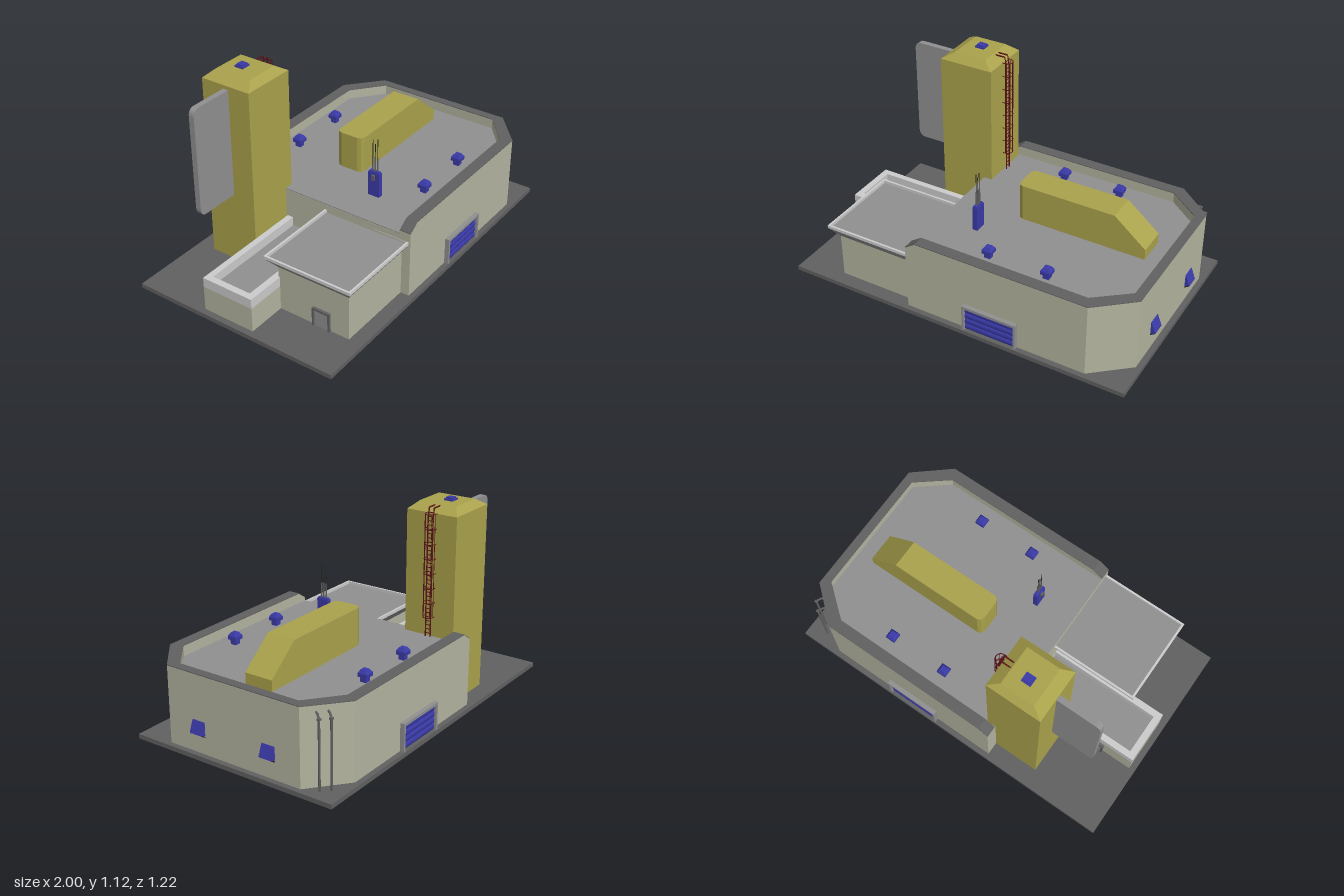
import * as THREE from 'three';

const mat = (color) => new THREE.MeshStandardMaterial({ color, side: THREE.DoubleSide });

export function createModel() {
  const root = new THREE.Group();
  const wall = mat(0xb4b4a0), grey = mat(0xcccccc), mid = mat(0x909090), dark = mat(0x606060),
    yellow = mat(0xaaa24c), blue = mat(0x3a3aa8), red = mat(0x5c1418), black = mat(0x262626);

  const add = (name, geo, m, parent = root) => {
    const mesh = new THREE.Mesh(geo, m);
    mesh.name = name;
    parent.add(mesh);
    return mesh;
  };
  const group = (name) => {
    const g = new THREE.Group();
    g.name = name;
    root.add(g);
    return g;
  };
  // box given by its limits
  const box = (name, x0, x1, y0, y1, z0, z1, m, parent) => {
    const g = new THREE.BoxGeometry(x1 - x0, y1 - y0, z1 - z0);
    g.translate((x0 + x1) / 2, (y0 + y1) / 2, (z0 + z1) / 2);
    return add(name, g, m, parent);
  };
  // plan outline [x, z] raised from y0 to y1
  const plan = (name, pts, y0, y1, m, hole, parent) => {
    const v = (a) => a.map(([x, z]) => new THREE.Vector2(x, -z));
    const s = new THREE.Shape(v(pts));
    if (hole) s.holes.push(new THREE.Path(v(hole)));
    const g = new THREE.ExtrudeGeometry(s, { depth: y1 - y0, bevelEnabled: false });
    g.rotateX(-Math.PI / 2).translate(0, y0, 0);
    return add(name, g, m, parent);
  };
  // side outline [x, y] swept from z0 to z1
  const side = (name, pts, z0, z1, m, parent) => {
    const s = new THREE.Shape(pts.map(([x, y]) => new THREE.Vector2(x, y)));
    const g = new THREE.ExtrudeGeometry(s, { depth: z1 - z0, bevelEnabled: false });
    return add(name, g.translate(0, 0, z0), m, parent);
  };
  const rect = (x0, x1, z0, z1) => [[x0, z0], [x1, z0], [x1, z1], [x0, z1]];
  // block whose bottom and top rectangles [x0, x1, z0, z1] differ
  const taper = (name, b, t, y0, y1, m) => {
    const g = new THREE.BoxGeometry(1, 1, 1).toNonIndexed();
    const p = g.attributes.position;
    for (let i = 0; i < p.count; i++) {
      const up = p.getY(i) > 0, r = up ? t : b;
      p.setXYZ(i, p.getX(i) > 0 ? r[1] : r[0], up ? y1 : y0, p.getZ(i) > 0 ? r[3] : r[2]);
    }
    g.computeVertexNormals();
    return add(name, g, m);
  };
  // round bar through points, with straight runs
  const bar = (name, pts, r, m, parent, sides = 6) => {
    const path = new THREE.CurvePath();
    const v = pts.map((p) => new THREE.Vector3(...p));
    for (let i = 1; i < v.length; i++) path.add(new THREE.LineCurve3(v[i - 1], v[i]));
    return add(name, new THREE.TubeGeometry(path, (v.length - 1) * 6, r, sides), m, parent);
  };

  // ground slab
  box('groundSlab', -1, 1, 0, 0.025, -0.61, 0.61, dark);

  // main hall with cut corners, flat roof and a parapet open to one side
  const hall = group('mainHall');
  plan('hallWalls', [[-0.28, -0.58], [0.77, -0.58], [0.97, -0.41], [0.97, 0.41], [0.77, 0.58], [-0.28, 0.58]],
    0.02, 0.385, wall, null, hall);
  plan('hallRoof', [[-0.279, -0.53], [0.74, -0.53], [0.93, -0.37], [0.93, 0.37], [0.74, 0.53], [-0.279, 0.53]],
    0.38, 0.39, mid, null, hall);
  const outer = [[-0.22, -0.58], [0.77, -0.58], [0.97, -0.41], [0.97, 0.41], [0.77, 0.58], [-0.22, 0.58]];
  const inner = [[-0.22, 0.515], [0.74, 0.515], [0.92, 0.37], [0.92, -0.37], [0.74, -0.515], [-0.22, -0.515]];
  plan('parapet', [...outer, ...inner], 0.385, 0.446, wall, null, hall);
  plan('parapetCap', [...outer, ...inner], 0.446, 0.45, dark, null, hall);
  for (const z of [-0.58, 0.515]) {
    side('parapetEnd', [[-0.28, 0.385], [-0.22, 0.385], [-0.22, 0.446], [-0.28, 0.406]], z, z + 0.065, wall, hall);
    side('parapetEndCap', [[-0.28, 0.406], [-0.22, 0.446], [-0.22, 0.45], [-0.28, 0.41]], z, z + 0.065, dark, hall);
  }

  // roller doors, front and back
  for (const s of [1, -1]) {
    const door = group(s > 0 ? 'frontRollerDoor' : 'backRollerDoor');
    box('frameTop', 0.07, 0.385, 0.165, 0.18, 0.57, 0.605, mid, door);
    for (const x of [0.07, 0.373]) box('framePost', x, x + 0.012, 0.025, 0.165, 0.57, 0.605, mid, door);
    for (let i = 0; i < 4; i++) {
      const g = new THREE.CylinderGeometry(0.0175, 0.0175, 0.291, 12);
      g.rotateZ(Math.PI / 2).scale(1, 1, 0.5).translate(0.2275, 0.0425 + i * 0.035, 0.584);
      add('slat', g, blue, door);
    }
    if (s < 0) {
      door.rotation.y = Math.PI;
      door.position.x = 0.455;
    }
  }

  // sloping window hoods on the end wall
  for (const z of [0.215, -0.222]) {
    const hood = group('windowHood');
    side('hood', [[0.965, 0.2], [0.972, 0.2], [0.997, 0.135], [0.965, 0.128]], z - 0.039, z + 0.039, blue, hood);
    for (const d of [-0.037, 0.037])
      bar('strut', [[0.992, 0.134, z + d], [0.968, 0.12, z + d]], 0.003, black, hood);
  }

  // drain pipes on the back corner
  for (const [x, z] of [[0.893, -0.535], [0.935, -0.495]]) {
    bar('drainPipe', [[x, 0.02, z], [x, 0.4, z], [x - 0.008, 0.412, z + 0.01], [x - 0.045, 0.414, z + 0.06]],
      0.006, dark, root, 8);
    box('pipeClamp', x - 0.008, x + 0.008, 0.39, 0.4, z - 0.008, z + 0.008, dark);
  }

  // roof duct with a sloping end
  side('roofDuct', [[0.105, 0.385], [0.82, 0.385], [0.82, 0.45], [0.64, 0.6], [0.105, 0.6]], -0.13, 0.035, yellow);
  plan('ductEnd', [[0.105, -0.13], [0.085, -0.12], [0.077, -0.1], [0.077, 0.005], [0.085, 0.025], [0.105, 0.035]],
    0.385, 0.6, yellow);

  // roof vents
  for (const x of [0.12, 0.46]) for (const z of [-0.42, 0.41]) {
    box('ventNeck', x - 0.017, x + 0.017, 0.385, 0.42, z - 0.017, z + 0.017, blue);
    taper('ventCap', [x - 0.027, x + 0.027, z - 0.027, z + 0.027], [x - 0.015, x + 0.015, z - 0.015, z + 0.015],
      0.438, 0.456, blue);
    box('ventRim', x - 0.027, x + 0.027, 0.418, 0.438, z - 0.027, z + 0.027, blue);
  }

  // radio cabinet with three aerials
  const radio = group('radioCabinet');
  box('cabinet', -0.074, -0.046, 0.385, 0.53, 0.18, 0.25, blue, radio);
  box('cabinetLid', -0.071, -0.049, 0.53, 0.537, 0.184, 0.246, blue, radio);
  box('cabinetBox', -0.085, -0.074, 0.49, 0.52, 0.205, 0.225, dark, radio);
  [[0.2, 0.72], [0.215, 0.7], [0.23, 0.73]].forEach(([z, top]) => {
    bar('aerialBase', [[-0.06, 0.53, z], [-0.06, 0.62, z]], 0.0045, dark, radio);
    bar('aerial', [[-0.06, 0.62, z], [-0.06, top, z]], 0.002, black, radio);
  });

  // tower with bevelled top and hatch
  box('tower', -0.545, -0.23, 0.02, 1.07, -0.507, -0.207, yellow);
  taper('towerTop', [-0.545, -0.23, -0.507, -0.207], [-0.48, -0.29, -0.467, -0.247], 1.07, 1.108, yellow);
  box('towerHatch', -0.415, -0.36, 1.105, 1.117, -0.402, -0.35, blue);
  box('hatchLid', -0.408, -0.367, 1.117, 1.125, -0.395, -0.357, blue);

  // rounded fin on the tower side
  const fin = new THREE.Shape();
  fin.moveTo(-0.54, 0.44);
  fin.lineTo(-0.54, 1.05);
  fin.lineTo(-0.76, 1.05);
  fin.quadraticCurveTo(-0.8, 1.05, -0.8, 1.005);
  fin.lineTo(-0.8, 0.485);
  fin.quadraticCurveTo(-0.8, 0.44, -0.76, 0.44);
  add('towerFin', new THREE.ExtrudeGeometry(fin, { depth: 0.032, bevelEnabled: false }).translate(0, 0, -0.37), mid);

  // caged ladder
  const ladder = group('ladder');
  const zc = -0.36;
  for (const d of [-0.015, 0.015])
    bar('ladderRail', [[-0.215, 0.39, zc + d], [-0.215, 1.1, zc + d], [-0.29, 1.1, zc + d]], 0.004, red, ladder);
  for (let y = 0.41; y < 1.1; y += 0.023)
    bar('rung', [[-0.215, y, zc - 0.015], [-0.215, y, zc + 0.015]], 0.0025, red, ladder, 4);
  const cage = (t) => [-0.213 + 0.027 * Math.sin(t), 0, zc + 0.029 * Math.cos(t)];
  for (let i = 0; i < 8; i++) {
    const y = 0.503 + i * 0.081;
    const pts = [[-0.232, y, zc + 0.029]];
    for (let k = 0; k <= 6; k++) {
      const [x, , z] = cage(k * Math.PI / 6);
      pts.push([x, y, z]);
    }
    pts.push([-0.232, y, zc - 0.029]);
    bar('cageHoop', pts, 0.0025, red, ladder, 4);
  }
  for (const t of [0, 0.25, 0.5, 0.75, 1]) {
    const [x, , z] = cage(t * Math.PI);
    bar('cageBar', [[x, 0.503, z], [x, 1.07, z]], 0.002, red, ladder, 4);
  }

  // front annex with flared roof tray
  box('frontAnnex', -0.74, -0.27, 0.02, 0.285, 0.1, 0.53, wall);
  taper('annexEaves', [-0.74, -0.275, 0.1, 0.53], [-0.79, -0.275, 0.05, 0.57], 0.28, 0.338, mid);
  plan('annexRim', rect(-0.79, -0.275, 0.05, 0.57), 0.338, 0.355, grey, rect(-0.778, -0.28, 0.062, 0.558));
  box('annexDoor', -0.747, -0.735, 0.025, 0.125, 0.325, 0.41, mid);
  plan('annexDoorFrame', rect(-0.755, -0.735, 0.315, 0.42), 0.122, 0.134, dark);
  for (const z of [0.315, 0.41]) box('annexDoorPost', -0.755, -0.735, 0.025, 0.122, z, z + 0.01, dark);

  // low back annex with parapet
  const low = rect(-0.965, -0.275, -0.2, 0.108);
  plan('lowAnnex', low, 0.02, 0.165, wall);
  plan('lowAnnexFloor', rect(-0.93, -0.275, -0.165, 0.07), 0.16, 0.168, mid);
  plan('lowAnnexParapet', low, 0.165, 0.22, grey, rect(-0.928, -0.28, -0.165, 0.07));
  box('lowDoor', -0.78, -0.69, 0.025, 0.13, -0.207, -0.195, mid);
  box('lowDoorLintel', -0.79, -0.68, 0.128, 0.14, -0.216, -0.195, dark);
  for (const x of [-0.79, -0.69]) box('lowDoorPost', x, x + 0.01, 0.025, 0.128, -0.216, -0.195, dark);
  box('lowDoorHandle', -0.715, -0.703, 0.075, 0.085, -0.213, -0.205, black);

  return root;
}
